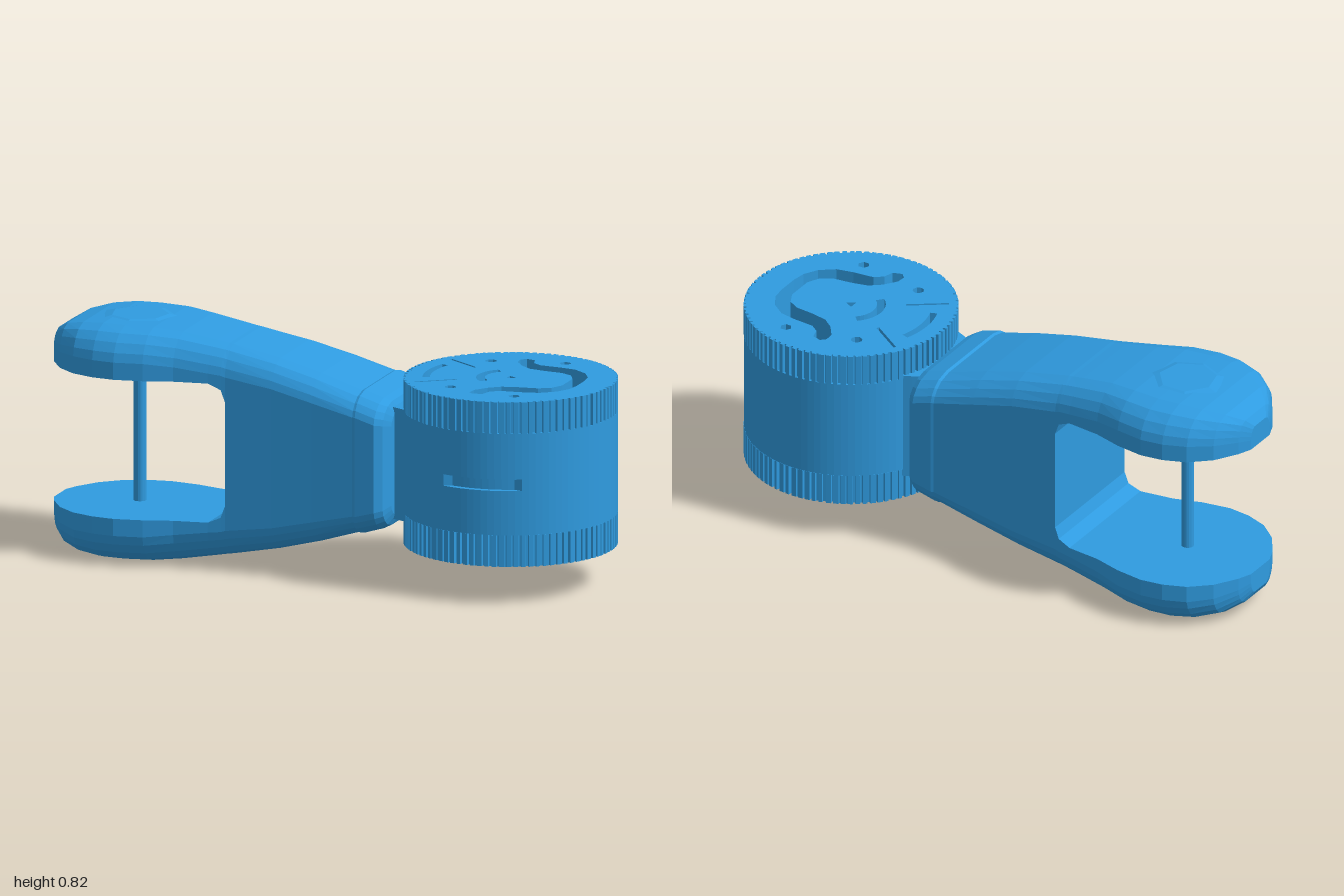
import * as THREE from 'three';

const material = new THREE.MeshStandardMaterial({ color: 0x2f9be0, flatShading: true, side: THREE.DoubleSide });
const MID = 0.412, DRUM_X = 0.632, DRUM_R = 0.365;

function add(parent, name, geometry, x = 0, y = 0, z = 0) {
  const mesh = new THREE.Mesh(geometry, material);
  mesh.name = name;
  mesh.position.set(x, y, z);
  parent.add(mesh);
  return mesh;
}

function seeded(seed) {
  return () => (seed = (seed * 16807) % 2147483647) / 2147483647;
}

// Half of the arm: rounded sections [x, half width, top, shoulder, underside] joined along x
const SECTIONS = [
  [-1.0, 0.06, 0.735, 0.69, 0.655],
  [-0.98, 0.11, 0.765, 0.70, 0.655],
  [-0.93, 0.19, 0.795, 0.71, 0.655],
  [-0.86, 0.25, 0.812, 0.715, 0.655],
  [-0.78, 0.28, 0.82, 0.715, 0.655],
  [-0.70, 0.29, 0.82, 0.715, 0.655],
  [-0.60, 0.275, 0.818, 0.715, 0.655],
  [-0.50, 0.245, 0.808, 0.705, 0.655],
  [-0.38, 0.23, 0.788, 0.69, 0.655],
  [-0.335, 0.226, 0.78, 0.685, 0.635],
  [-0.32, 0.225, 0.778, 0.68, 0.595],
  [-0.32, 0.225, 0.778, 0.68, MID],
  [-0.15, 0.232, 0.744, 0.655, MID],
  [0.0, 0.24, 0.705, 0.62, MID],
  [0.15, 0.249, 0.658, 0.585, MID],
  [0.16, 0.252, 0.662, 0.585, MID],
  [0.23, 0.256, 0.64, 0.565, MID],
  [0.255, 0.235, 0.628, 0.56, MID],
  [0.27, 0.19, 0.60, 0.55, MID],
];

function armHalf(sign) {
  const positions = [], index = [];
  const quarter = [[1, 0], [0.97, 0.3], [0.9, 0.6], [0.79, 0.85], [0.6, 1]];
  const n = 2 * quarter.length + 2;
  const tri = (a, b, c) => (sign > 0 ? index.push(a, b, c) : index.push(a, c, b));
  for (const [x, w, top, shoulder, under] of SECTIONS) {
    const side = quarter.map(([k, t]) => [k * w, shoulder + (top - shoulder) * t]);
    const ring = [[w, under], ...side];
    ring.push(...ring.map(([z, y]) => [-z, y]).reverse());
    for (const [z, y] of ring) positions.push(x, MID + sign * (y - MID), z);
  }
  for (let i = 0; i < SECTIONS.length - 1; i++) {
    for (let j = 0; j < n; j++) {
      const a = i * n + j, b = i * n + (j + 1) % n;
      tri(a, a + n, b);
      tri(b, a + n, b + n);
    }
  }
  const last = (SECTIONS.length - 1) * n;
  for (let j = 1; j < n - 1; j++) {
    tri(0, j, j + 1);
    tri(last, last + j + 1, last + j);
  }
  const geometry = new THREE.BufferGeometry();
  geometry.setAttribute('position', new THREE.Float32BufferAttribute(positions, 3));
  geometry.setIndex(index);
  geometry.computeVertexNormals();
  return geometry;
}

// Drum outlines and cut-outs, drawn around the drum axis
const polar = (r, a) => new THREE.Vector2(r * Math.cos(a), r * Math.sin(a));

function circle(x, y, r, sides) {
  return Array.from({ length: sides }, (_, i) => polar(r, (i / sides) * Math.PI * 2).add(new THREE.Vector2(x, y)));
}

function arcSlot(inner, outer, half) {
  const points = [];
  for (let i = 0; i <= 10; i++) points.push(polar(outer, Math.PI - half + (i / 10) * 2 * half));
  for (let i = 10; i >= 0; i--) points.push(polar(inner, Math.PI - half + (i / 10) * 2 * half));
  return points;
}

// Curved channel wrapping the outer side of the drum
function channel() {
  const outer = [[0.592, 0.267], [0.625, 0.257], [0.635, 0.22], [0.665, 0.197], [0.74, 0.19], [0.80, 0.178], [0.85, 0.14], [0.878, 0.09], [0.885, 0.04]];
  const inner = [[0.837, 0.05], [0.815, 0.095], [0.775, 0.118], [0.71, 0.125], [0.65, 0.138], [0.61, 0.17], [0.578, 0.215], [0.575, 0.25]];
  const flip = (list) => list.map(([x, y]) => [x, -y]).reverse();
  return [...outer, ...flip(outer), ...flip(inner), ...inner]
    .map(([x, y]) => new THREE.Vector2(x - DRUM_X, y));
}

function slit(side) {
  return [[-0.285, 0.172], [-0.165, 0.088], [-0.160, 0.096], [-0.280, 0.180]]
    .map(([x, y]) => new THREE.Vector2(x, y * side));
}

function knurledOutline(seed) {
  const random = seeded(seed), points = [], teeth = 90;
  for (let i = 0; i < teeth; i++) {
    const depth = 0.004 + 0.009 * random(), width = 0.45 + 0.3 * random();
    const at = (k, r) => points.push(polar(r, ((i + k) / teeth) * Math.PI * 2));
    at(0, DRUM_R);
    at(width, DRUM_R);
    at(width + 0.08, DRUM_R - depth);
    at(0.92, DRUM_R - depth);
  }
  return points;
}

function slab(outline, holes, height) {
  const shape = new THREE.Shape(outline);
  shape.holes = holes.map((points) => new THREE.Path(points));
  const geometry = new THREE.ExtrudeGeometry(shape, { depth: height, bevelEnabled: false });
  return geometry.rotateX(-Math.PI / 2);
}

export function createModel() {
  const model = new THREE.Group();
  model.name = 'forkedArmWithDrum';

  // Forked arm, mirrored about its middle height, with a shallow faceted boss on each prong
  const arm = new THREE.Group();
  arm.name = 'forkedArm';
  model.add(arm);
  add(arm, 'upperArm', armHalf(1));
  add(arm, 'lowerArm', armHalf(-1));
  add(arm, 'upperBoss', new THREE.CylinderGeometry(0.1, 0.135, 0.008, 7), -0.71, 0.819);
  add(arm, 'lowerBoss', new THREE.CylinderGeometry(0.135, 0.1, 0.008, 7), -0.71, 0.005);
  add(arm, 'pin', new THREE.CylinderGeometry(0.022, 0.022, 0.5, 16), -0.71, MID);

  // Neck between arm and drum
  const neckShape = new THREE.Shape([[0.255, -0.15], [0.285, -0.165], [0.36, -0.2], [0.36, 0.2], [0.285, 0.165], [0.255, 0.15]]
    .map(([x, y]) => new THREE.Vector2(x, y)));
  const neckGeometry = new THREE.ExtrudeGeometry(neckShape, { depth: 0.39, bevelEnabled: false });
  add(model, 'neck', neckGeometry.rotateX(-Math.PI / 2), 0, 0.22);

  // Drum barrel in three layers, the middle one recessed at the front
  const drum = new THREE.Group();
  drum.name = 'drum';
  drum.position.x = DRUM_X;
  model.add(drum);
  const round = circle(0, 0, DRUM_R - 0.001, 96);
  const notched = round.map((p) => (p.y < 0 && p.x > -0.1 && p.x < 0.14 ? p.clone().multiplyScalar(0.945) : p));
  add(drum, 'lowerBarrel', slab(round, [channel()], 0.155), 0, 0.245);
  add(drum, 'notchedBarrel', slab(notched, [channel()], 0.04), 0, 0.4);
  add(drum, 'upperBarrel', slab(round, [channel()], 0.16), 0, 0.44);

  // Knurled end bands with pockets
  const pockets = [channel(), arcSlot(0.275, 0.3, 0.33), arcSlot(0.088, 0.118, 0.85), circle(0, 0, 0.02, 3)];
  for (const side of [-1, 1]) {
    pockets.push(slit(side), circle(-0.145, 0.2 * side, 0.02, 8), circle(0.105, 0.252 * side, 0.02, 6));
  }
  add(drum, 'lowerBand', slab(knurledOutline(11), pockets, 0.11), 0, 0.135);
  add(drum, 'upperBand', slab(knurledOutline(47), pockets, 0.11), 0, 0.6);

  return model;
}
